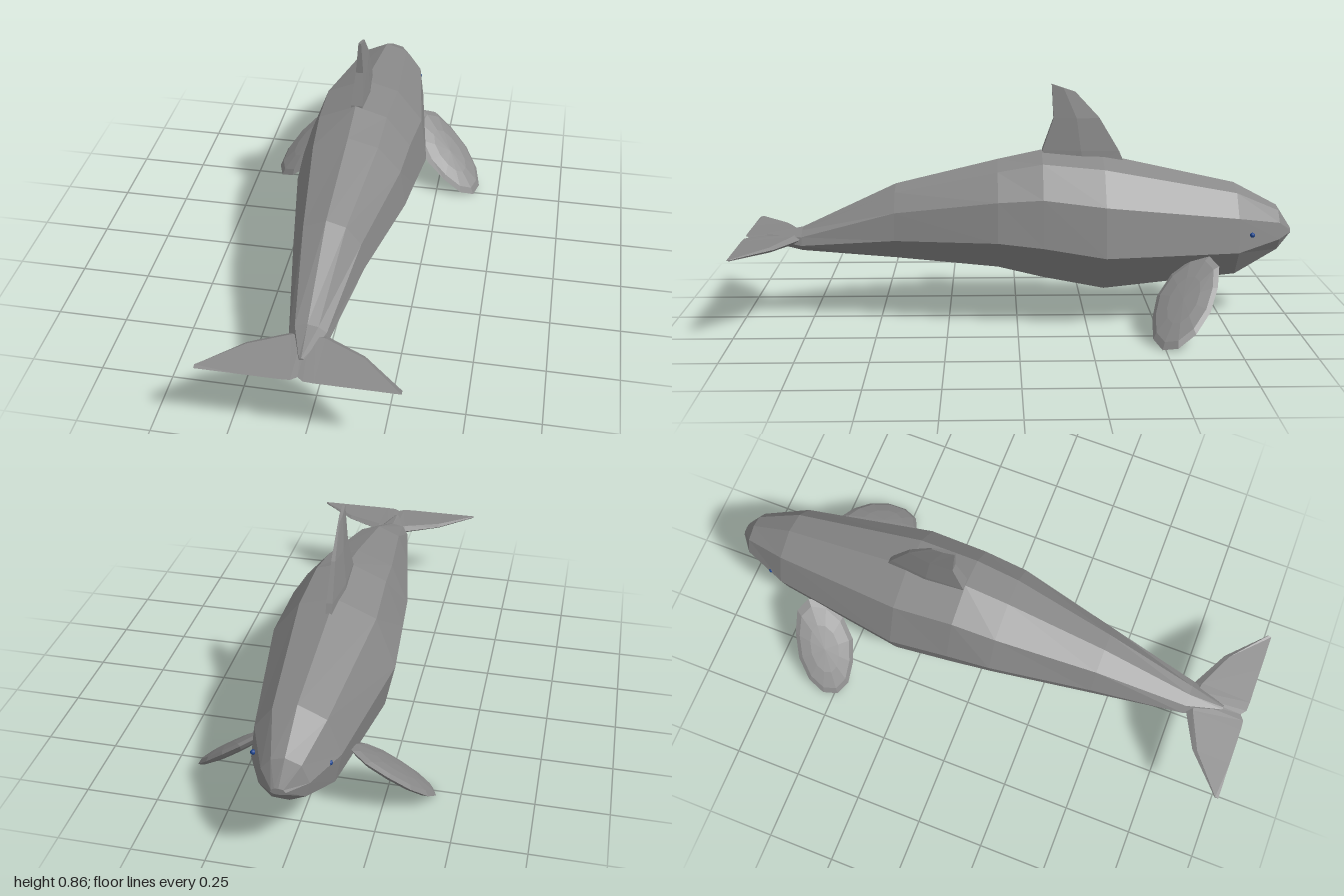
import * as THREE from 'three';

const grey = new THREE.MeshStandardMaterial({ color: 0x8a8a8a, flatShading: true });
const eyeBlue = new THREE.MeshStandardMaterial({ color: 0x1c4590 });

// Skin a closed surface over rings of [x, y, z] points, with fan caps.
// Rings run counter-clockwise about the direction of travel.
function loft(rings) {
  const n = rings[0].length;
  const pos = [];
  const tri = (a, b, c) => pos.push(...a, ...b, ...c);
  for (let r = 0; r < rings.length - 1; r++) {
    const a = rings[r], b = rings[r + 1];
    for (let i = 0; i < n; i++) {
      const j = (i + 1) % n;
      tri(a[i], a[j], b[j]);
      tri(a[i], b[j], b[i]);
    }
  }
  const first = rings[0], last = rings[rings.length - 1];
  for (let i = 1; i < n - 1; i++) {
    tri(first[0], first[i + 1], first[i]);
    tri(last[0], last[i], last[i + 1]);
  }
  const geo = new THREE.BufferGeometry();
  geo.setAttribute('position', new THREE.Float32BufferAttribute(pos, 3));
  geo.computeVertexNormals();
  return geo;
}

function add(group, name, geo, mat = grey) {
  const mesh = new THREE.Mesh(geo, mat);
  mesh.name = name;
  group.add(mesh);
  return mesh;
}

// Nine-sided body, slightly uneven from side to side
function bodyGeometry() {
  const outline = [
    [0.88, 0.36], [0.47, 0.85], [-0.07, 1], [-0.7, 0.74], [-1, -0.03],
    [-0.85, -0.7], [-0.2, -1], [0.5, -0.95], [0.98, -0.38],
  ];
  // z, centre x, half width, bottom y, top y
  const stations = [
    [-1.0, 0, 0.025, 0.315, 0.338],
    [-0.95, -0.005, 0.082, 0.258, 0.417],
    [-0.79, 0, 0.15, 0.172, 0.502],
    [-0.31, -0.002, 0.228, 0.127, 0.606],
    [-0.09, -0.003, 0.213, 0.168, 0.624],
    [0.07, -0.003, 0.2, 0.207, 0.59],
    [0.44, -0.014, 0.125, 0.234, 0.5],
    [0.78, -0.013, 0.066, 0.26, 0.342],
    [0.91, -0.01, 0.012, 0.288, 0.318],
  ];
  return loft(stations.map(([z, cx, rx, y0, y1]) => outline.map(([u, v]) =>
    [cx + rx * u, (y0 + y1) / 2 + (y1 - y0) / 2 * v, z])));
}

// Swept-back fin: centre x, front y, back y, front z, back z, half thickness
function dorsalGeometry() {
  const levels = [
    [-0.014, 0.55, 0.55, -0.4, -0.09, 0.027],
    [-0.014, 0.62, 0.625, -0.37, -0.092, 0.026],
    [-0.011, 0.74, 0.74, -0.298, -0.132, 0.017],
    [-0.009, 0.835, 0.863, -0.21, -0.125, 0.006],
  ];
  return loft(levels.map(([cx, yf, yb, zf, zb, t]) => {
    const zm = (zf + zb) / 2, ym = (yf + yb) / 2;
    return [
      [cx - t * 0.8, yb, zb], [cx + t * 0.8, yb, zb], [cx + t, ym, zm],
      [cx + t * 0.4, yf, zf], [cx - t * 0.4, yf, zf], [cx - t, ym, zm],
    ];
  }));
}

// Both tail flukes in one span: distance out, leading z, trailing z, half thickness
function flukeGeometry() {
  const half = [
    [0.325, 0.982, 0.996, 0.003],
    [0.19, 0.855, 0.996, 0.009],
    [0.055, 0.785, 0.996, 0.015],
    [0.02, 0.78, 0.994, 0.017],
  ];
  const section = (x, zf, zb, t) => {
    const zm = zf + (zb - zf) * 0.12;
    return [[x, 0.305 + t, zm], [x, 0.303, zb], [x, 0.305 - t, zm], [x, 0.306, zf]];
  };
  const cx = -0.008;
  return loft([
    ...half.map(([x, ...s]) => section(cx - x, ...s)),
    section(cx, 0.78, 0.978, 0.017),
    ...half.slice().reverse().map(([x, ...s]) => section(cx + x, ...s)),
  ]);
}

// Flat oval paddle, slanting down, outward and back, broader at the root
function flipperGeometry(side) {
  const along = new THREE.Vector3(side * 0.14, -0.118, 0.04);
  const across = new THREE.Vector3(0, -0.055, 0.113);
  const thick = along.clone().cross(across).setLength(0.022);
  const m = new THREE.Matrix4().makeBasis(along, across, thick);
  m.setPosition(side * 0.28, 0.132, -0.58);
  const geo = new THREE.SphereGeometry(1, 12, 6).rotateX(Math.PI / 2);
  const p = geo.attributes.position;
  for (let i = 0; i < p.count; i++) {
    p.setY(i, p.getY(i) * (1 + 0.22 * Math.max(0, -p.getX(i))));
  }
  return geo.applyMatrix4(m);
}

export function createModel() {
  const model = new THREE.Group();
  model.name = 'whale';
  add(model, 'body', bodyGeometry());
  add(model, 'dorsalFin', dorsalGeometry());
  add(model, 'tailFlukes', flukeGeometry());
  for (const side of [-1, 1]) {
    const label = side > 0 ? 'left' : 'right';
    add(model, label + 'Flipper', flipperGeometry(side));
    const eye = add(model, label + 'Eye', new THREE.SphereGeometry(0.009, 10, 8), eyeBlue);
    eye.position.set(side * 0.124, 0.335, -0.84);
  }
  return model;
}
